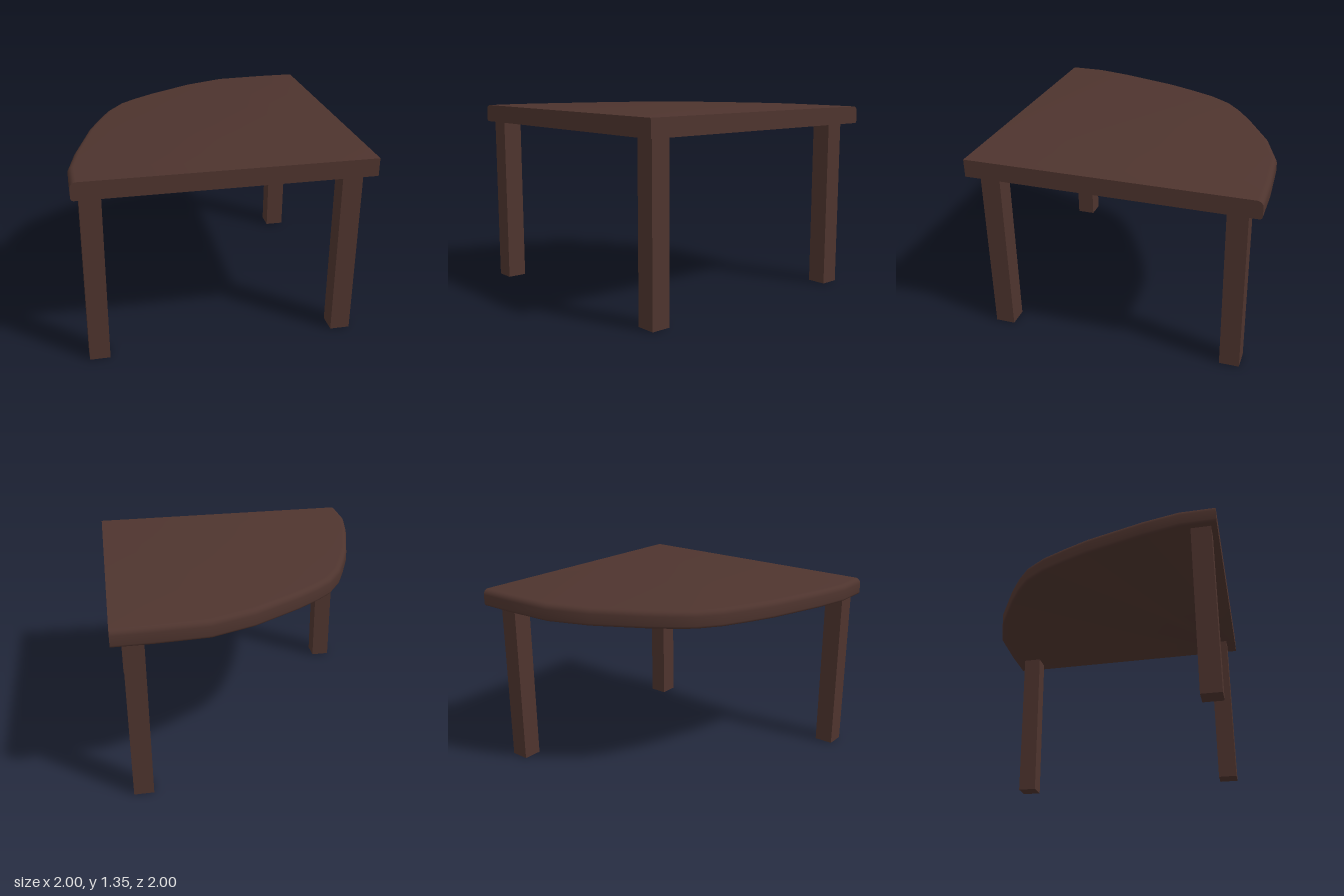
import * as THREE from 'three';
import { toCreasedNormals } from 'three/addons/utils/BufferGeometryUtils.js';

const BOTTOM = 1.22, TOP = 1.345;

// Curved edge of the top as [x, z], from the back corner round to the front corner
const CURVE = [
  [1, -1], [0.73, -1], [0.364, -0.98], [0.06, -0.87], [-0.27, -0.68], [-0.43, -0.57],
  [-0.545, -0.472], [-0.655, -0.315], [-0.74, -0.13], [-0.82, 0.065], [-0.945, 0.49],
  [-1, 0.75], [-1, 1],
];

// Rounded edge section as [inset, y], from the underside up
function edgeProfile() {
  const section = [];
  const arc = (r, y, from) => {
    for (let i = 0; i <= 4; i++) {
      const a = from + (i / 4) * Math.PI / 2;
      section.push([r - r * Math.cos(a), y + r * Math.sin(a)]);
    }
  };
  arc(0.02, BOTTOM + 0.02, -Math.PI / 2);
  arc(0.04, TOP - 0.04, 0);
  return section;
}

// Inward direction at each curve point; the two ends slide along the straight sides
function inward(i) {
  if (i === 0) return [0, 1];
  if (i === CURVE.length - 1) return [1, 0];
  const [a, b] = [CURVE[i - 1], CURVE[i + 1]];
  const dx = b[0] - a[0], dz = b[1] - a[1], l = Math.hypot(dx, dz);
  return [dz / l, -dx / l];
}

function topGeometry() {
  const section = edgeProfile(), n = CURVE.length + 1;
  const position = [], index = [];
  // One ring per section point, closed by the square corner
  for (const [inset, y] of section) {
    CURVE.forEach(([x, z], i) => {
      const [nx, nz] = inward(i);
      position.push(Math.min(1, x + nx * inset), y, Math.min(1, z + nz * inset));
    });
    position.push(1, y, 1);
  }
  // Walls
  for (let r = 0; r < section.length - 1; r++) {
    for (let i = 0; i < n; i++) {
      const a = r * n + i, b = r * n + (i + 1) % n;
      index.push(a, b, b + n, a, b + n, a + n);
    }
  }
  // Underside and upper face, fanned from the square corner
  const last = (section.length - 1) * n;
  for (let i = 0; i < n - 2; i++) {
    index.push(n - 1, i + 1, i);
    index.push(last + n - 1, last + i, last + i + 1);
  }
  const g = new THREE.BufferGeometry();
  g.setAttribute('position', new THREE.Float32BufferAttribute(position, 3));
  g.setIndex(index);
  return toCreasedNormals(g, 0.65);
}

export function createModel() {
  const model = new THREE.Group();
  model.name = 'cornerTable';
  const wood = new THREE.MeshStandardMaterial({ color: 0x4e342e });
  wood.name = 'darkWood';

  const top = new THREE.Mesh(topGeometry(), wood);
  top.name = 'tableTop';
  model.add(top);

  // Three square legs
  const legGeometry = new THREE.BoxGeometry(0.14, BOTTOM, 0.14);
  const legs = { frontRightLeg: [-0.88, 0.89], frontLeftLeg: [0.855, 0.86], backLeftLeg: [0.855, -0.835] };
  for (const [name, [x, z]] of Object.entries(legs)) {
    const leg = new THREE.Mesh(legGeometry, wood);
    leg.name = name;
    leg.position.set(x, BOTTOM / 2, z);
    model.add(leg);
  }
  return model;
}
